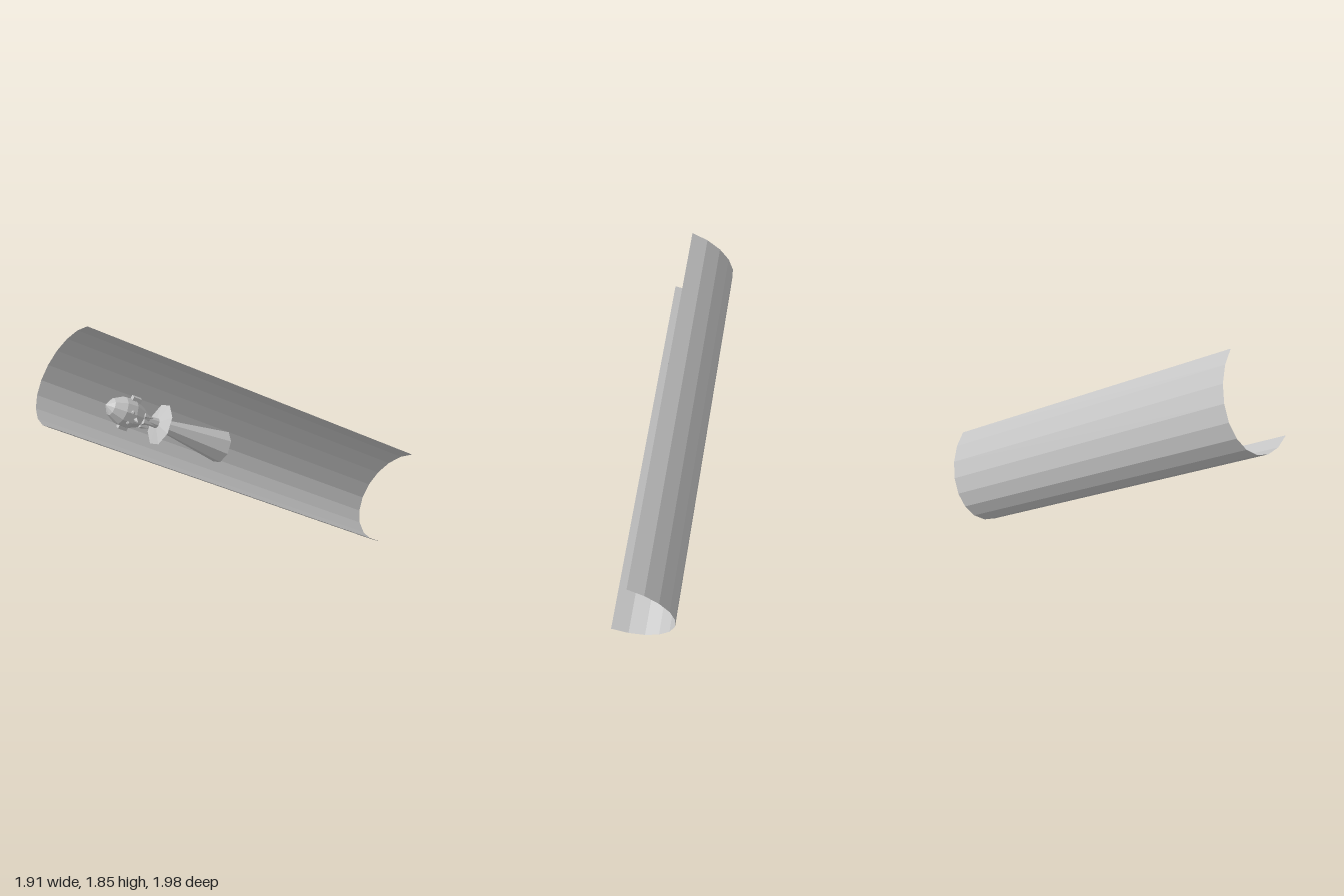
import * as THREE from 'three';

export function createModel() {
  const model = new THREE.Group();
  const grey = new THREE.MeshStandardMaterial({ color: 0xc4c4c4, flatShading: true, side: THREE.DoubleSide });
  grey.name = 'plain grey';

  // Sloping frame: x towards the open side, y across, z up the slope
  const slope = new THREE.Group();
  slope.name = 'slidingFigureAndTrough';
  slope.quaternion.setFromRotationMatrix(new THREE.Matrix4().makeBasis(
    new THREE.Vector3(0.7071, 0, 0.7071),
    new THREE.Vector3(0.3536, 0.866, -0.3536),
    new THREE.Vector3(-0.6124, 0.5, 0.6124)
  ));
  model.add(slope);

  function add(parent, name, geometry, x = 0, y = 0, z = 0) {
    const mesh = new THREE.Mesh(geometry, grey);
    mesh.name = name;
    mesh.position.set(x, y, z);
    parent.add(mesh);
    return mesh;
  }

  // Trough: a skewed half round of ten flat strips
  const trough = new THREE.PlaneGeometry(1, 1, 10, 1);
  const p = trough.attributes.position;
  for (let i = 0; i < p.count; i++) {
    const t = (p.getX(i) + 0.5) * Math.PI;
    const c = Math.cos(t), s = Math.sin(t);
    p.setXYZ(i, 0.107 - 0.083 * c - 0.322 * s, 0.852 + 0.302 * c - 0.165 * s,
      p.getY(i) > 0 ? 1.715 : -0.865);
  }
  trough.computeVertexNormals();
  add(slope, 'trough', trough);

  // Figure lying along the trough, head up the slope, face to the open side
  const figure = new THREE.Group();
  figure.name = 'figure';
  figure.position.set(-0.028, 0.732, 0);
  slope.add(figure);

  const turned = (points, sides) => new THREE.LatheGeometry(
    points.map(([r, y]) => new THREE.Vector2(r, y)), sides).rotateX(Math.PI / 2);

  add(figure, 'skirt', turned([[0.108, 0.478], [0.035, 0.96]], 8));
  add(figure, 'collar', turned([[0.03, 0.975], [0.136, 0.95]], 8));
  add(figure, 'neck', turned([[0.035, 0.95], [0.026, 1.06]], 8));
  add(figure, 'head', turned([[0.026, 1.04], [0.065, 1.1], [0.093, 1.17], [0.09, 1.24],
    [0.055, 1.31], [0, 1.35]], 10));

  // Face details, paired across the head
  for (const side of [-1, 1]) {
    add(figure, 'ear', new THREE.BoxGeometry(0.035, 0.03, 0.06), -0.005, side * 0.096, 1.175);
    add(figure, 'eye', new THREE.SphereGeometry(0.013, 6, 5), 0.082, side * 0.035, 1.2);
    const lock = add(figure, 'chinPoint', new THREE.ConeGeometry(0.018, 0.07, 4), 0.055, side * 0.035, 1.07);
    lock.rotation.set(-Math.PI / 2, 0, 0);
  }
  const nose = add(figure, 'nose', new THREE.ConeGeometry(0.018, 0.05, 4), 0.105, 0, 1.165);
  nose.rotation.z = -Math.PI / 2;
  const beard = add(figure, 'beard', new THREE.ConeGeometry(0.022, 0.09, 4), 0.07, 0, 1.06);
  beard.rotation.x = -Math.PI / 2;

  return model;
}
